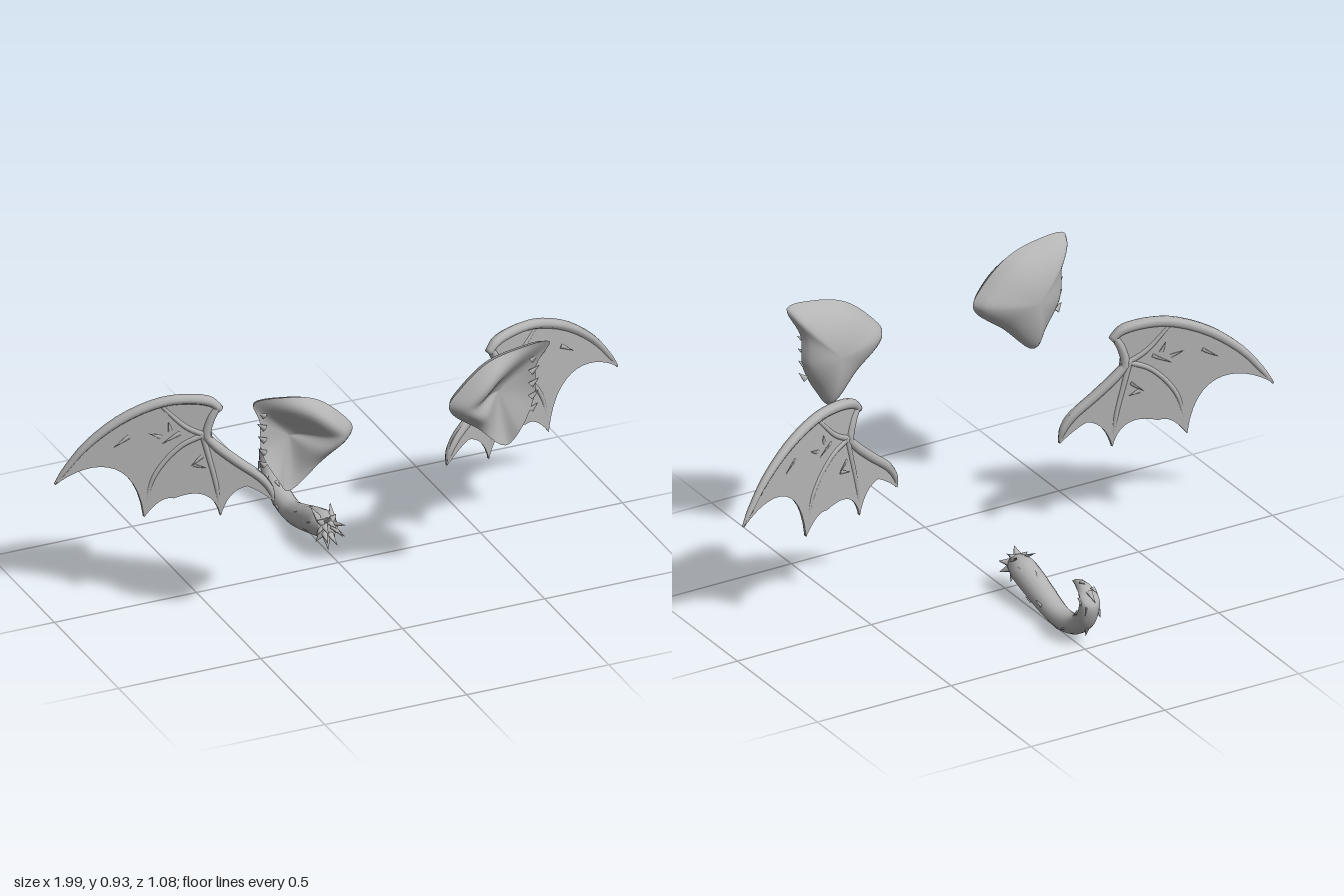
import * as THREE from 'three';

const V = (x, y, z = 0) => new THREE.Vector3(x, y, z);

// Round tube with a radius that varies along its path: points are [x, y, z, radius]
function taperedTube(points, steps = 40, sides = 10) {
  const curve = new THREE.CatmullRomCurve3(points.map(p => V(p[0], p[1], p[2])), false, 'centripetal');
  const frames = curve.computeFrenetFrames(steps, false);
  const pos = [], index = [];
  const radiusAt = t => {
    const k = t * (points.length - 1), i = Math.min(Math.floor(k), points.length - 2);
    return THREE.MathUtils.lerp(points[i][3], points[i + 1][3], k - i);
  };
  for (let i = 0; i <= steps; i++) {
    const c = curve.getPoint(i / steps), r = radiusAt(i / steps);
    for (let j = 0; j < sides; j++) {
      const a = j / sides * Math.PI * 2;
      const p = c.clone().addScaledVector(frames.normals[i], Math.cos(a) * r)
        .addScaledVector(frames.binormals[i], Math.sin(a) * r);
      pos.push(p.x, p.y, p.z);
      if (i < steps) {
        const k = (j + 1) % sides, A = i * sides + j, B = i * sides + k;
        index.push(A, B, A + sides, B, B + sides, A + sides);
      }
    }
  }
  // End caps
  [0, steps].forEach(i => {
    const c = curve.getPoint(i / steps), n = pos.length / 3;
    pos.push(c.x, c.y, c.z);
    for (let j = 0; j < sides; j++) {
      const A = i * sides + j, B = i * sides + (j + 1) % sides;
      if (i) index.push(n, A, B); else index.push(n, B, A);
    }
  });
  const g = new THREE.BufferGeometry();
  g.setAttribute('position', new THREE.Float32BufferAttribute(pos, 3));
  g.setIndex(index);
  g.computeVertexNormals();
  return g;
}

// Flattened fur lock from base to tip
function lock(base, tip, width) {
  const dir = tip.clone().sub(base), len = dir.length();
  const g = new THREE.ConeGeometry(width, len, 6, 2);
  g.translate(0, len / 2, 0).scale(1, 1, 0.55);
  g.applyQuaternion(new THREE.Quaternion().setFromUnitVectors(V(0, 1, 0), dir.normalize()));
  return g.translate(base.x, base.y, base.z);
}

// Wings lie in a swept plane
const sweep = x => 0.168 - 0.275 * (x - 0.31);

function wingMembrane() {
  const s = new THREE.Shape();
  s.moveTo(0.475, 0.735);
  s.bezierCurveTo(0.6, 0.81, 0.85, 0.77, 0.99, 0.495);
  s.bezierCurveTo(0.9, 0.57, 0.74, 0.6, 0.712, 0.355);
  s.quadraticCurveTo(0.66, 0.43, 0.62, 0.415);
  s.quadraticCurveTo(0.5, 0.46, 0.472, 0.34);
  s.quadraticCurveTo(0.45, 0.43, 0.39, 0.44);
  s.quadraticCurveTo(0.35, 0.42, 0.303, 0.375);
  s.bezierCurveTo(0.3, 0.53, 0.44, 0.5, 0.495, 0.61);
  s.quadraticCurveTo(0.515, 0.69, 0.475, 0.735);
  const g = new THREE.ExtrudeGeometry(s, { depth: 0.012, bevelEnabled: false, curveSegments: 14 });
  const p = g.attributes.position;
  for (let i = 0; i < p.count; i++) p.setZ(i, p.getZ(i) - 0.006 + sweep(p.getX(i)));
  g.computeVertexNormals();
  return g;
}

// Bones: [x, y, radius] points in the wing plane
const WING_BONES = {
  leadingEdge: [[0.472, 0.722, 0.013], [0.5, 0.752, 0.018], [0.57, 0.768, 0.018], [0.66, 0.763, 0.018],
    [0.78, 0.714, 0.017], [0.89, 0.628, 0.014], [0.96, 0.54, 0.01], [0.99, 0.495, 0.004]],
  forearm: [[0.48, 0.735, 0.013], [0.503, 0.69, 0.015], [0.515, 0.63, 0.016], [0.5, 0.6, 0.012]],
  innerFinger: [[0.52, 0.63, 0.014], [0.48, 0.585, 0.017], [0.42, 0.53, 0.017], [0.345, 0.465, 0.016],
    [0.315, 0.42, 0.013], [0.305, 0.38, 0.005]],
  middleFinger: [[0.53, 0.645, 0.012], [0.51, 0.56, 0.011], [0.485, 0.45, 0.01], [0.472, 0.343, 0.004]],
  outerFinger: [[0.52, 0.64, 0.012], [0.6, 0.6, 0.011], [0.68, 0.5, 0.01], [0.712, 0.36, 0.004]],
  upperStrut: [[0.52, 0.635, 0.012], [0.58, 0.67, 0.011], [0.66, 0.755, 0.008]],
};
// Torn flaps raised from the membrane: [x, y, tipX, tipY]
const TEARS = [[0.6, 0.65, 0.66, 0.62], [0.63, 0.66, 0.64, 0.7], [0.66, 0.64, 0.7, 0.66],
  [0.53, 0.56, 0.57, 0.53], [0.56, 0.53, 0.52, 0.52], [0.76, 0.65, 0.81, 0.62]];

// Ear rim: x, y, z
const EAR_RIM = [[0.17, 0.77, 0.485], [0.205, 0.82, 0.49], [0.30, 0.9, 0.495], [0.41, 0.932, 0.5],
  [0.52, 0.932, 0.495], [0.487, 0.84, 0.465], [0.48, 0.73, 0.465], [0.425, 0.62, 0.475],
  [0.383, 0.567, 0.458], [0.275, 0.66, 0.475], [0.182, 0.735, 0.485]];

// Ear half built as rings from centre to rim; front is a dish with a rolled inner edge, back a dome
function earSide(front) {
  const rim = new THREE.CatmullRomCurve3(EAR_RIM.map(p => V(...p)), true, 'centripetal');
  const N = 66, R = 14, pos = [], index = [];
  for (let i = 0; i <= R; i++) {
    const t = i / R;
    for (let j = 0; j < N; j++) {
      const e = rim.getPoint(j / N);
      const x = 0.37 + (e.x - 0.37) * t, y = 0.755 + (e.y - 0.755) * t;
      let z;
      if (front) {
        const angle = Math.atan2(e.y - 0.755, e.x - 0.37);
        const roll = Math.pow(Math.max(0, Math.cos((angle - 2.65 + (angle < -1 ? Math.PI * 2 : 0)) * 0.8)), 1.2);
        z = THREE.MathUtils.lerp(0.432, e.z, t * t) + 0.08 * roll * Math.sin(Math.PI * Math.pow(t, 1.6));
      } else {
        z = e.z - (e.z - 0.403) * Math.pow(1 - t * t, 0.6);
      }
      pos.push(x, y, z);
      if (i < R) {
        const k = (j + 1) % N, A = i * N + j, B = i * N + k;
        // The rim runs clockwise as seen from the front
        if (front) index.push(A, B, A + N, B, B + N, A + N);
        else index.push(A, A + N, B, B, A + N, B + N);
      }
    }
  }
  const g = new THREE.BufferGeometry();
  g.setAttribute('position', new THREE.Float32BufferAttribute(pos, 3));
  g.setIndex(index);
  g.computeVertexNormals();
  return g;
}

// Tail centre line: x, y, z, radius
const TAIL = [[-0.015, 0.115, -0.045, 0.034], [-0.015, 0.108, -0.09, 0.046], [-0.015, 0.09, -0.15, 0.046],
  [-0.015, 0.062, -0.235, 0.042], [-0.015, 0.041, -0.32, 0.037], [-0.015, 0.05, -0.4, 0.036],
  [-0.015, 0.088, -0.465, 0.036], [-0.015, 0.14, -0.498, 0.036], [-0.015, 0.185, -0.503, 0.034],
  [-0.015, 0.208, -0.475, 0.026], [-0.015, 0.212, -0.435, 0.014], [-0.015, 0.205, -0.4, 0.002]];

export function createModel() {
  const model = new THREE.Group();
  const grey = new THREE.MeshStandardMaterial({ color: 0xb4b4b4 });
  grey.name = 'grey';
  grey.side = THREE.DoubleSide;
  const add = (parent, name, geometry) => {
    const m = new THREE.Mesh(geometry, grey);
    m.name = name;
    parent.add(m);
  };

  for (const side of [1, -1]) {
    const label = side > 0 ? 'left' : 'right';
    const wing = new THREE.Group(), ear = new THREE.Group();
    wing.name = label + 'Wing';
    ear.name = label + 'Ear';
    wing.scale.x = ear.scale.x = side;
    model.add(wing, ear);

    add(wing, 'membrane', wingMembrane());
    for (const [name, pts] of Object.entries(WING_BONES))
      add(wing, name, taperedTube(pts.map(([x, y, r]) => [x, y, sweep(x), r]), 24, 8));
    for (const [x, y, tx, ty] of TEARS) for (const f of [1, -1])
      add(wing, 'tornFlap', lock(V(x, y, sweep(x) + f * 0.004), V(tx, ty, sweep(tx) + f * 0.014), 0.009));

    add(ear, 'earFront', earSide(true));
    add(ear, 'earBack', earSide(false));
    // Ragged fur along the outer rim
    for (let i = 0; i < 5; i++) {
      const y = 0.68 + i * 0.045;
      add(ear, 'earFur', lock(V(0.468, y, 0.462), V(0.492 + 0.002 * i, y + 0.025, 0.468), 0.012));
    }
  }

  // Tail with fur locks lying along it
  const tail = new THREE.Group();
  tail.name = 'tail';
  model.add(tail);
  add(tail, 'tailBody', taperedTube(TAIL, 70, 14));
  for (let i = 1; i < 10; i++) for (let j = 0; j < 3; j++) {
    const a = V(...TAIL[i]), b = V(...TAIL[i + 1]), r = TAIL[i][3];
    const along = b.clone().sub(a).normalize();
    const out = V(1, 0, 0).applyAxisAngle(along, i * 1.3 + j * 2.1);
    const base = a.lerp(b, j / 3).addScaledVector(out, r * 0.86);
    add(tail, 'furLock', lock(base, base.clone().addScaledVector(along, -0.03).addScaledVector(out, 0.009), 0.009));
  }

  // Tuft at the front end
  const hub = V(-0.015, 0.115, -0.05);
  for (let i = 0; i < 9; i++) {
    const a = i / 9 * Math.PI * 2 + 0.3;
    const x = Math.cos(a), y = Math.sin(a);
    add(tail, 'tuftLock', lock(V(hub.x + x * 0.022, hub.y + y * 0.025, hub.z),
      V(hub.x + x * 0.054, hub.y + y * 0.06 - 0.01, -0.02 - 0.03 * (i % 2)), 0.017));
  }
  for (let i = 0; i < 5; i++) {
    const a = i / 5 * Math.PI * 2;
    const x = Math.cos(a), y = Math.sin(a);
    add(tail, 'tuftLock', lock(V(hub.x + x * 0.015, hub.y + y * 0.018, hub.z - 0.01),
      V(hub.x + x * 0.028, 0.1 + y * 0.03, 0.008 - 0.006 * (i % 2)), 0.016));
  }
  for (const s of [-1, 1])
    add(tail, 'tuftLock', lock(V(-0.015 + s * 0.02, 0.135, -0.06), V(-0.015 + s * 0.035, 0.168, -0.11), 0.014));
  // Small tufts at the curled tip
  add(tail, 'tipLock', lock(V(-0.015, 0.215, -0.485), V(-0.015, 0.236, -0.458), 0.013));
  add(tail, 'tipLock', lock(V(-0.015, 0.21, -0.5), V(-0.015, 0.185, -0.542), 0.012));
  return model;
}
